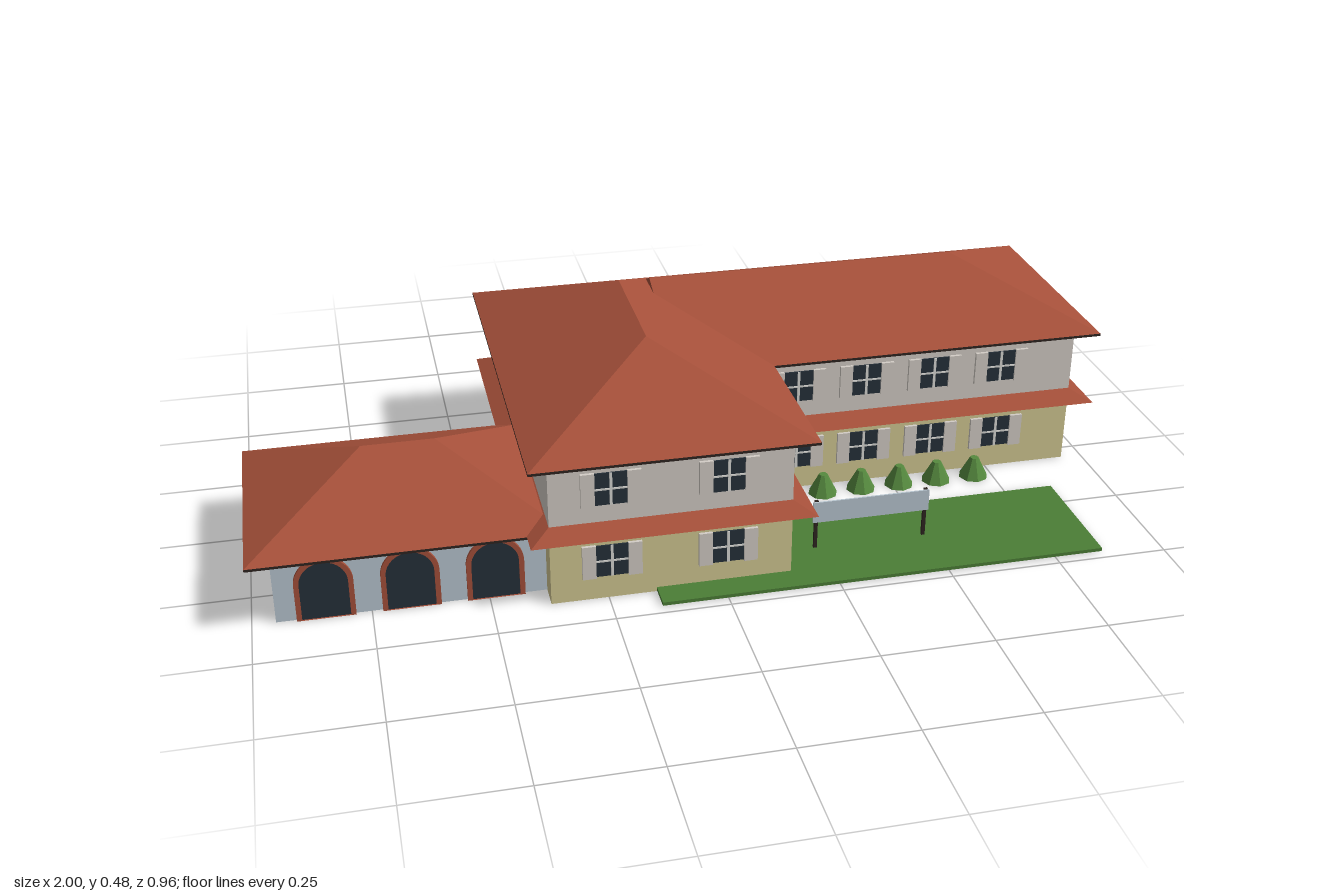
import * as THREE from 'three';

const paint = (name, color) => {
  const m = new THREE.MeshStandardMaterial({ color });
  m.name = name;
  return m;
};

export function createModel() {
  const cream = paint('cream plaster', 0xd2c892);
  const upperWall = paint('pale stone', 0xd3cdc6);
  const blueWall = paint('pale blue', 0xb8c6d0);
  const tile = paint('roof tile', 0xa5503a);
  const fascia = paint('dark eaves', 0x2e2420);
  const glass = paint('dark glass', 0x25303a);
  const trim = paint('window trim', 0xd9d8d4);
  const grass = paint('lawn green', 0x4b7e36);
  const leaf = paint('bush green', 0x568a3f);

  const root = new THREE.Group();
  root.name = 'villa';

  const add = (name, geo, mat, parent = root) => {
    const mesh = new THREE.Mesh(geo, mat);
    mesh.name = name;
    parent.add(mesh);
    return mesh;
  };

  // Box given by its limits on each axis
  const block = (name, mat, x0, x1, y0, y1, z0, z1, parent = root) => {
    const mesh = add(name, new THREE.BoxGeometry(x1 - x0, y1 - y0, z1 - z0), mat, parent);
    mesh.position.set((x0 + x1) / 2, (y0 + y1) / 2, (z0 + z1) / 2);
    return mesh;
  };

  // Tapered block: base rectangle rises to a top rectangle, which may shrink to a ridge
  const taper = (name, mat, y0, y1, base, top) => {
    const ring = ([x0, x1, z0, z1], y) =>
      [[x0, z1], [x1, z1], [x1, z0], [x0, z0]].map(([x, z]) => new THREE.Vector3(x, y, z));
    const b = ring(base, y0), t = ring(top, y1), pos = [];
    const tri = (p, q, r) => {
      const area = q.clone().sub(p).cross(r.clone().sub(p)).length();
      if (area > 1e-8) for (const v of [p, q, r]) pos.push(v.x, v.y, v.z);
    };
    const quad = (p, q, r, s) => { tri(p, q, r); tri(p, r, s); };
    for (let i = 0; i < 4; i++) {
      const j = (i + 1) % 4;
      quad(b[i], b[j], t[j], t[i]);
    }
    quad(t[0], t[1], t[2], t[3]);
    quad(b[3], b[2], b[1], b[0]);
    const geo = new THREE.BufferGeometry();
    geo.setAttribute('position', new THREE.Float32BufferAttribute(pos, 3));
    geo.computeVertexNormals();
    return add(name, geo, mat);
  };

  const roof = (name, y0, y1, eaves, ridge) => {
    taper(name, tile, y0, y1, eaves, ridge);
    const [x0, x1, z0, z1] = eaves;
    block(name + 'Eaves', fascia, x0, x1, y0 - 0.006, y0, z0, z1);
  };

  // Two-storey wings: lower wall, skirt roof, upper wall
  const wings = [
    ['crossWing', [-0.375, 0.155, -0.43, 0.415]],
    ['longWing', [0.155, 0.95, -0.43, 0.045]],
  ];
  for (const [name, [x0, x1, z0, z1]] of wings) {
    block(name + 'LowerWall', cream, x0, x1, 0, 0.18, z0, z1);
    block(name + 'UpperWall', upperWall, x0, x1, 0.18, 0.342, z0, z1);
    taper(name + 'SkirtRoof', tile, 0.167, 0.19,
      [x0 - 0.045, x1 + 0.045, z0 - 0.045, z1 + 0.045], [x0, x1, z0, z1]);
  }
  roof('crossWingRoof', 0.347, 0.483, [-0.42, 0.2, -0.48, 0.46], [-0.11, -0.11, -0.165, 0.15]);
  roof('longWingRoof', 0.347, 0.467, [-0.03, 0.997, -0.48, 0.085], [-0.03, 0.715, -0.198, -0.198]);

  // Low arcade annex
  block('annexWall', blueWall, -0.95, -0.375, 0, 0.16, -0.062, 0.357);
  roof('annexRoof', 0.166, 0.285, [-1, -0.33, -0.11, 0.405], [-0.74, -0.58, 0.147, 0.147]);

  const archPath = (Type, w, straight) => {
    const p = new Type();
    p.moveTo(-w, 0);
    p.lineTo(w, 0);
    p.lineTo(w, straight);
    p.absarc(0, straight, w, 0, Math.PI, false);
    p.lineTo(-w, 0);
    return p;
  };
  for (const x of [-0.845, -0.665, -0.485]) {
    const arch = new THREE.Group();
    arch.name = 'archway';
    arch.position.set(x, 0, 0.357);
    const ring = archPath(THREE.Shape, 0.062, 0.086);
    ring.holes.push(archPath(THREE.Path, 0.051, 0.086));
    const opts = { bevelEnabled: false, curveSegments: 16 };
    add('archFrame', new THREE.ExtrudeGeometry(ring, { ...opts, depth: 0.007 }), tile, arch);
    add('archGlass', new THREE.ExtrudeGeometry(archPath(THREE.Shape, 0.051, 0.086),
      { ...opts, depth: 0.003 }), glass, arch);
    root.add(arch);
  }

  // Shuttered window, built facing +z around its centre
  const windowUnit = (x, y, z, turn = 0, w = 0.07) => {
    const g = new THREE.Group();
    g.name = 'window';
    const h = 0.038, s = w / 2;
    block('pane', glass, -s, s, -h, h, 0, 0.003, g);
    block('uprightBar', trim, -0.003, 0.003, -h, h, 0.003, 0.005, g);
    block('crossBar', trim, -s, s, -0.002, 0.002, 0.003, 0.005, g);
    for (const side of [-1, 1]) {
      const shutter = block('shutter', upperWall, -0.015, 0.015, -0.04, 0.04, 0, 0.007, g);
      shutter.position.x = side * (s + 0.015);
    }
    g.position.set(x, y, z);
    g.rotation.y = turn;
    root.add(g);
  };
  for (const y of [0.094, 0.269]) {
    for (const x of [-0.242, 0.012]) windowUnit(x, y, 0.415);
    for (const x of [0.27, 0.435, 0.602, 0.768]) windowUnit(x, y, 0.045);
    windowUnit(0.155, y, 0.231, Math.PI / 2);
    windowUnit(0.155, y, 0.073, Math.PI / 2, 0.037);
  }

  // Lawn and bushes
  block('lawn', grass, -0.145, 0.86, 0.002, 0.01, 0.19, 0.477);
  for (const x of [0.14, 0.232, 0.327, 0.421, 0.516, 0.61, 0.705]) {
    const geo = new THREE.CylinderGeometry(0.01, 0.035, 0.05, 8).toNonIndexed();
    geo.computeVertexNormals();
    add('bush', geo, leaf).position.set(x, 0.025, 0.085);
  }

  // Blank sign board on two posts
  block('signBoard', blueWall, 0.225, 0.495, 0.077, 0.128, 0.335, 0.339);
  for (const x of [0.234, 0.488]) block('signPost', fascia, x - 0.004, x + 0.004, 0.005, 0.13, 0.329, 0.335);

  return root;
}
